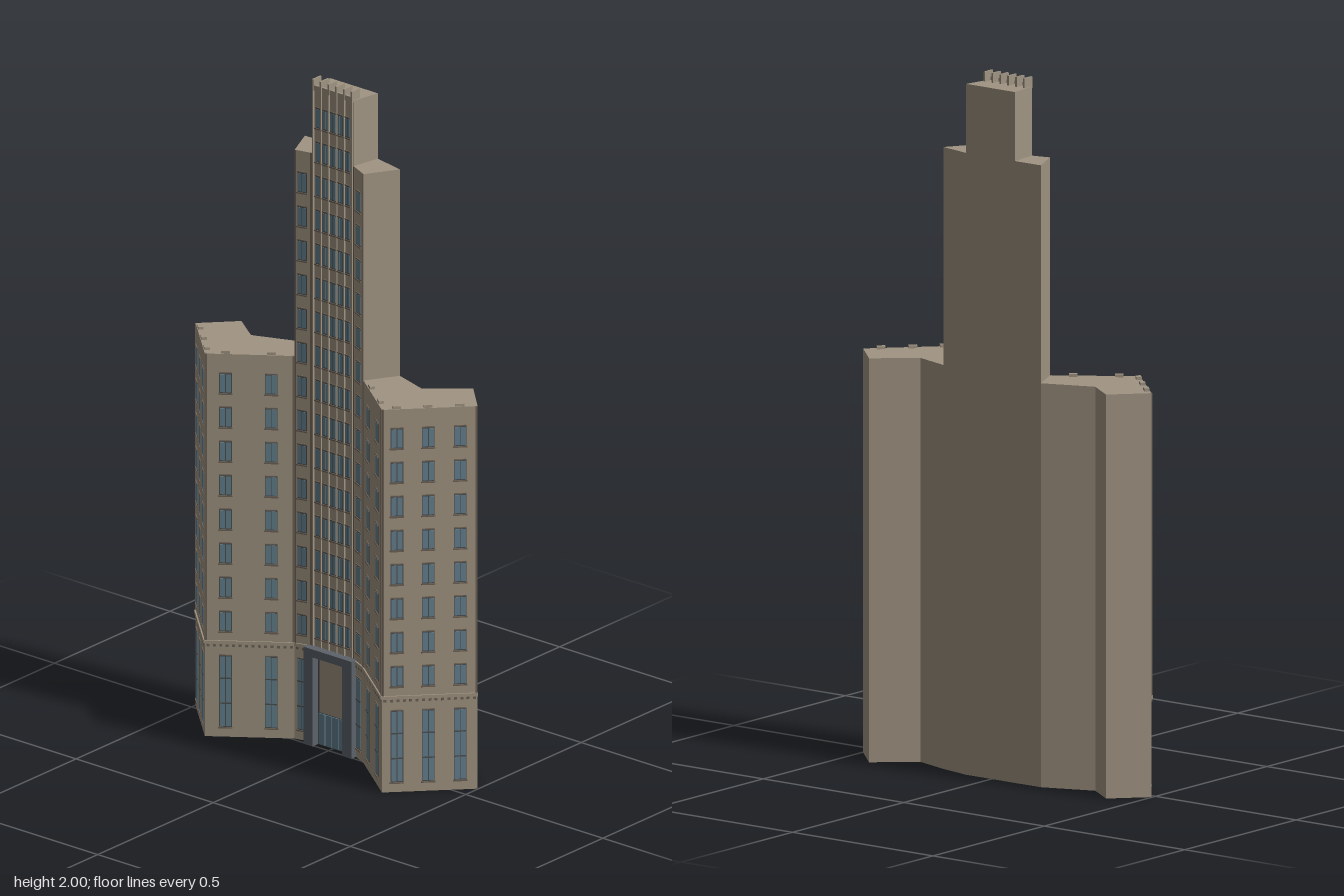
import * as THREE from 'three';
import { mergeGeometries } from 'three/addons/utils/BufferGeometryUtils.js';

const mat = (name, color) => Object.assign(new THREE.MeshStandardMaterial({ color }), { name });

export function createModel() {
  const model = new THREE.Group();
  model.name = 'towerBuilding';
  const M = {
    wall: mat('stone', 0xa09482),
    trim: mat('darkStone', 0x6e6357),
    frame: mat('windowFrame', 0x4d4f50),
    glass: mat('glass', 0x64808e),
    portal: mat('slate', 0x5d636a),
  };

  // Prism standing on a plan outline of [x, z] points
  function prism(name, plan, y0, y1) {
    const shape = new THREE.Shape(plan.map(([x, z]) => new THREE.Vector2(x, -z)));
    const geo = new THREE.ExtrudeGeometry(shape, { depth: y1 - y0, bevelEnabled: false });
    geo.rotateX(-Math.PI / 2).translate(0, y0, 0);
    const mesh = new THREE.Mesh(geo, M.wall);
    mesh.name = name;
    model.add(mesh);
  }

  // Collects boxes by part name and merges them into one mesh per part
  function collector(parent) {
    const parts = {};
    return {
      box(name, m, x0, x1, y0, y1, z0, z1) {
        const g = new THREE.BoxGeometry(x1 - x0, y1 - y0, z1 - z0);
        g.translate((x0 + x1) / 2, (y0 + y1) / 2, (z0 + z1) / 2);
        (parts[name] ??= { m, list: [] }).list.push(g);
      },
      finish() {
        for (const [name, { m, list }] of Object.entries(parts)) {
          const mesh = new THREE.Mesh(mergeGeometries(list), m);
          mesh.name = name;
          parent.add(mesh);
        }
      },
    };
  }

  // Group whose x runs along the wall and whose z points outward
  function wallGroup(name, a, b) {
    const g = new THREE.Group();
    g.name = name;
    g.position.set(a[0], 0, a[1]);
    g.rotation.y = Math.atan2(a[1] - b[1], b[0] - a[0]);
    model.add(g);
    return g;
  }

  // Paned window: frame plate, two panes, sill and lintel
  function paneWindow(c, x, y0, y1, w) {
    const h = w / 2;
    c.box('windowFrames', M.frame, x - h, x + h, y0, y1, -0.002, 0.001);
    for (const s of [-1, 1]) {
      const px = x + s * h * 0.47;
      c.box('windowPanes', M.glass, px - h * 0.4, px + h * 0.4, y0 + 0.003, y1 - 0.003, -0.001, 0.002);
    }
    c.box('windowSills', M.trim, x - h - 0.002, x + h + 0.002, y0 - 0.004, y0, -0.002, 0.004);
    c.box('windowLintels', M.trim, x - h, x + h, y1, y1 + 0.003, -0.002, 0.003);
  }

  const rowY = i => 0.318 + i * 0.1025;
  const ROOF = 1.153, SHOULDER = 1.775, TOP = 1.972;

  // Front corners, from the model's right to its left
  const F = [[-0.498, -0.015], [-0.334, 0.14], [-0.13, -0.007], [-0.076, -0.02],
    [0.074, -0.02], [0.133, 0.007], [0.312, 0.14], [0.498, -0.054]];

  // Main masses
  prism('wings', [...F, [0.404, -0.146], [0.296, -0.052], [0.188, -0.085], [0.09, -0.106],
    [-0.083, -0.106], [-0.175, -0.105], [-0.323, -0.047], [-0.41, -0.109]], 0, ROOF);
  prism('shoulderTower', [F[2], F[3], F[4], F[5], [0.188, -0.085], [0.09, -0.106],
    [-0.083, -0.106], [-0.175, -0.105]], ROOF, SHOULDER);
  prism('topTower', [F[3], F[4], [0.09, -0.106], [-0.083, -0.106]], SHOULDER, TOP);

  // Window walls: corner indices, window columns by x, rows, window width, roof blocks
  const walls = [
    ['rightOuterWall', 0, [-0.471, -0.415, -0.36], 8, 0.036, true],
    ['rightInnerWall', 1, [-0.287, -0.183], 8, 0.036, true],
    ['rightTowerWall', 2, [-0.107], 14, 0.03, false],
    ['leftTowerWall', 4, [0.104], 14, 0.03, false],
    ['leftInnerWall', 5, [0.179, 0.267], 8, 0.036, true],
    ['leftOuterWall', 6, [0.341, 0.402, 0.464], 8, 0.036, true],
  ];
  for (const [name, i, cols, rows, w, blocks] of walls) {
    const a = F[i], b = F[i + 1];
    const len = Math.hypot(b[0] - a[0], b[1] - a[1]);
    const g = wallGroup(name, a, b);
    const c = collector(g);
    for (const wx of cols) {
      const x = (wx - a[0]) / (b[0] - a[0]) * len;
      // Tall ground-floor window with crossbars
      paneWindow(c, x, 0.03, 0.245, w);
      for (const y of [0.1, 0.175]) c.box('crossbars', M.frame, x - w / 2, x + w / 2, y, y + 0.004, 0, 0.003);
      for (let r = 0; r < rows; r++) paneWindow(c, x, rowY(r), rowY(r) + 0.06, w);
      if (blocks) c.box('roofBlocks', M.wall, x - 0.012, x + 0.012, ROOF - 0.002, ROOF + 0.008, -0.017, -0.002);
    }
    // Ledge and dentils above the ground floor
    c.box('ledge', M.wall, 0, len, 0.28, 0.29, -0.003, 0.004);
    const n = Math.round(len / 0.018);
    for (let k = 0; k < n; k++) {
      const x = (k + 0.5) * len / n;
      c.box('dentils', M.trim, x - 0.004, x + 0.004, 0.272, 0.28, -0.002, 0.003);
    }
    // Slim strips at the wall's ends
    const top = rows > 8 ? SHOULDER : ROOF;
    for (const x of [0.001, len - 0.006]) c.box('cornerStrips', M.trim, x, x + 0.005, 0.29, top, -0.002, 0.002);
    c.finish();
  }

  // Central bay with close-set windows, ribs and spandrels
  const bay = new THREE.Group();
  bay.name = 'centralBay';
  bay.position.z = -0.02;
  model.add(bay);
  const c = collector(bay);
  for (let r = 0; r < 16; r++) {
    for (let k = -2; k <= 2; k++) paneWindow(c, k * 0.0265 - 0.001, rowY(r), rowY(r) + 0.06, 0.021);
  }
  for (let k = 0; k < 6; k++) {
    const x = -0.071 + k * 0.0282;
    c.box('ribs', M.wall, x - 0.002, x + 0.002, 0.29, TOP, -0.002, 0.005);
    c.box('crownFins', M.wall, x - 0.003, x + 0.003, TOP - 0.005, 2, -0.03, 0.005);
  }
  c.box('crownRail', M.wall, -0.074, 0.073, TOP - 0.005, TOP + 0.01, -0.005, 0.002);
  c.finish();

  // Entrance portal with panel and glazed doors
  const entrance = new THREE.Group();
  entrance.name = 'entrance';
  entrance.position.z = -0.02;
  model.add(entrance);
  const e = collector(entrance);
  for (const [x0, x1] of [[-0.087, -0.054], [0.052, 0.087]]) {
    e.box('portalJambs', M.portal, x0, x1, 0, 0.268, -0.01, 0.025);
  }
  e.box('portalLintel', M.portal, -0.087, 0.087, 0.268, 0.292, -0.01, 0.025);
  e.box('entrancePanel', M.wall, -0.046, 0.044, 0.1, 0.26, -0.002, 0.006);
  e.box('doorSurround', M.frame, -0.054, 0.052, 0, 0.268, -0.002, 0.002);
  for (let k = 0; k < 4; k++) {
    const x = -0.05 + k * 0.025;
    e.box('doorPanes', M.glass, x, x + 0.023, 0.003, 0.096, -0.001, 0.005);
  }
  e.finish();

  return model;
}
